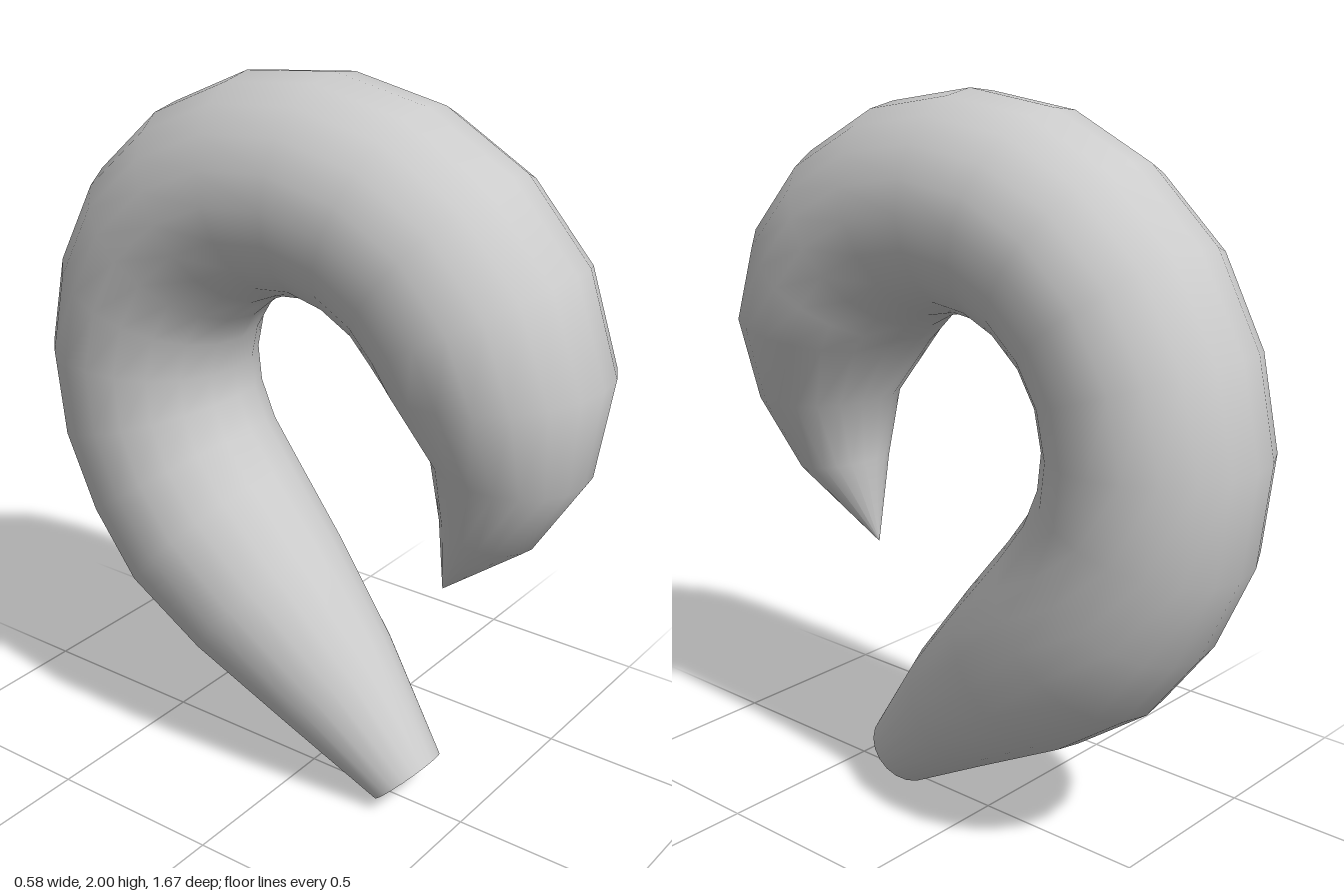
import * as THREE from 'three';

const SIDES = 20;

// Cross-sections along the hook: [outer z, outer y, inner z, inner y]
const SECTIONS = [
  [0.245, 0.005, 0.40, 0.16],
  [-0.03, 0.155, 0.20, 0.46],
  [-0.32, 0.31, 0.01, 0.70],
  [-0.54, 0.465, -0.14, 0.88],
  [-0.69, 0.66, -0.22, 0.99],
  [-0.80, 0.90, -0.257, 1.08],
  [-0.835, 1.18, -0.265, 1.16],
  [-0.78, 1.44, -0.245, 1.25],
  [-0.65, 1.68, -0.20, 1.325],
  [-0.45, 1.86, -0.13, 1.385],
  [-0.21, 1.97, -0.05, 1.42],
  [0.06, 2.0, 0.04, 1.43],
  [0.33, 1.95, 0.127, 1.41],
  [0.565, 1.82, 0.20, 1.37],
  [0.745, 1.62, 0.24, 1.33],
  [0.835, 1.36, 0.275, 1.30],
  [0.80, 1.105, 0.40, 1.13],
  [0.67, 0.90, 0.42, 0.95],
  [0.415, 0.705, 0.415, 0.705],
];

// One circular ring spanning the outer and inner points of a section
function ringPoints([oz, oy, iz, iy]) {
  const radius = Math.hypot(oz - iz, oy - iy) / 2;
  const points = [];
  for (let k = 0; k < SIDES; k++) {
    const a = (k / SIDES) * Math.PI * 2;
    const c = Math.cos(a) / 2;
    points.push(new THREE.Vector3(
      Math.sin(a) * radius,
      (oy + iy) / 2 + (oy - iy) * c,
      (oz + iz) / 2 + (oz - iz) * c,
    ));
  }
  return points;
}

// Smooth skin joining the rings
function skinGeometry() {
  const points = SECTIONS.flatMap(ringPoints);
  const index = [];
  for (let j = 0; j < SECTIONS.length - 1; j++) {
    for (let k = 0; k < SIDES; k++) {
      const a = j * SIDES + k;
      const c = j * SIDES + ((k + 1) % SIDES);
      const b = a + SIDES;
      const d = c + SIDES;
      index.push(a, b, c);
      if (j < SECTIONS.length - 2) index.push(c, b, d);
    }
  }
  const geometry = new THREE.BufferGeometry().setFromPoints(points);
  geometry.setIndex(index);
  geometry.computeVertexNormals();
  return geometry;
}

export function createModel() {
  const group = new THREE.Group();
  group.name = 'curledHook';
  const material = new THREE.MeshStandardMaterial({ color: 0xcccccc });

  // Curled body tapering to a point
  const body = new THREE.Mesh(skinGeometry(), material);
  body.name = 'curledBody';
  group.add(body);

  // Flat disc closing the narrow foot
  const [oz, oy, iz, iy] = SECTIONS[0];
  const cap = new THREE.Mesh(
    new THREE.CircleGeometry(Math.hypot(oz - iz, oy - iy) / 2, SIDES), material);
  cap.name = 'footCap';
  cap.position.set(0, (oy + iy) / 2, (oz + iz) / 2);
  cap.rotation.x = Math.atan2(iz - oz, iy - oy);
  group.add(cap);

  return group;
}
